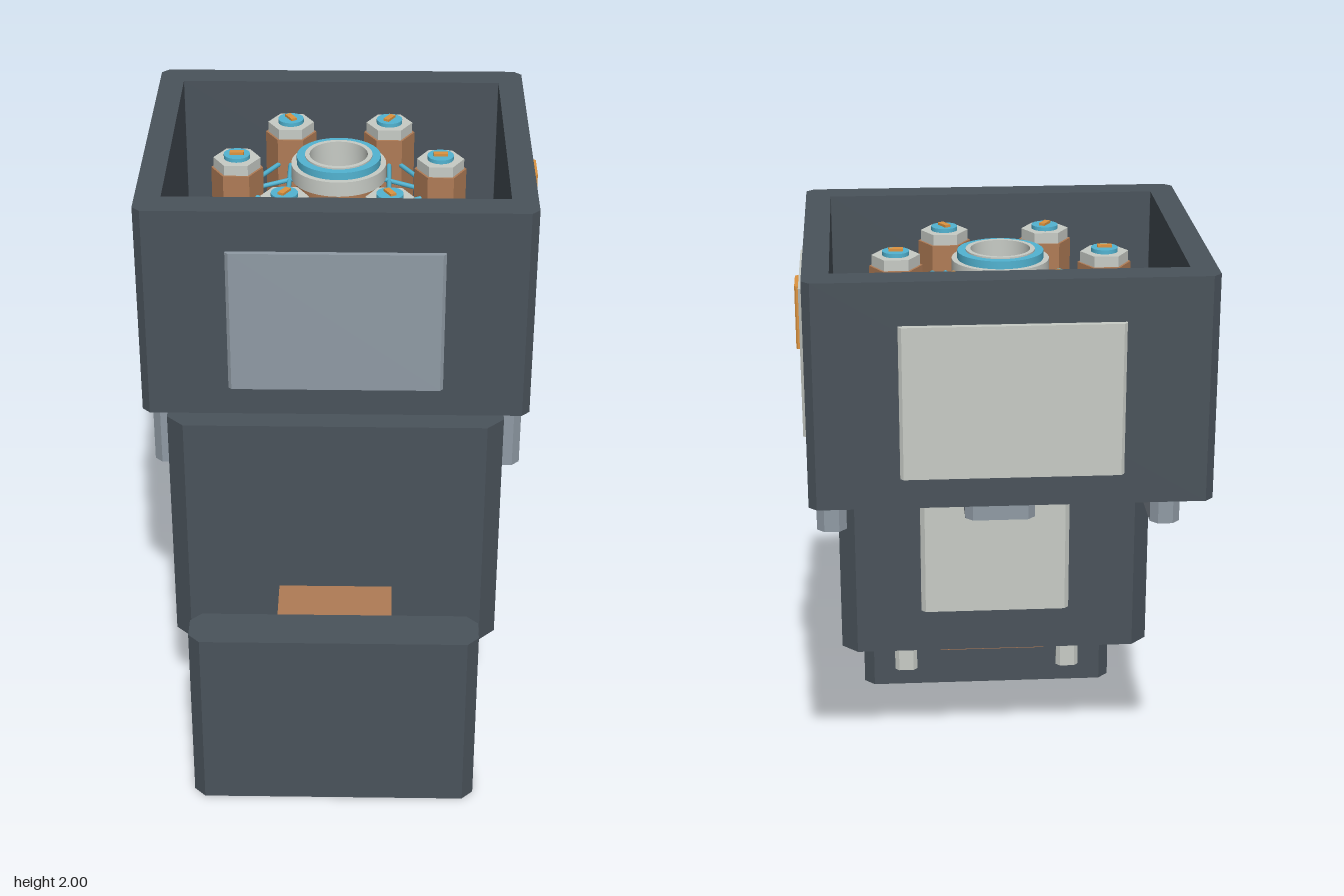
import * as THREE from 'three';
import { toCreasedNormals } from 'three/addons/utils/BufferGeometryUtils.js';

const mat = (color) => new THREE.MeshStandardMaterial({ color });
const DARK = mat(0x4a535b), BLACK = mat(0x343a40), STEEL = mat(0x909ba5), PALE = mat(0xc8ccc6);
const COPPER = mat(0xb07c56), ORANGE = mat(0xdd9440), BLUE = mat(0x52b4d2);

const CZ = -0.175; // z of the housing axis

function add(parent, name, geometry, material, x = 0, y = 0, z = 0) {
  const mesh = new THREE.Mesh(geometry, material);
  mesh.name = name;
  mesh.position.set(x, y, z);
  parent.add(mesh);
  return mesh;
}

// Rectangle in plan with its four corners cut off by c
function plan(x0, x1, z0, z1, c) {
  const s = new THREE.Shape();
  // shape y is -z, so that the extrusion can be turned upright
  s.moveTo(x0 + c, -z1);
  s.lineTo(x1 - c, -z1);
  s.lineTo(x1, -z1 + c);
  s.lineTo(x1, -z0 - c);
  s.lineTo(x1 - c, -z0);
  s.lineTo(x0 + c, -z0);
  s.lineTo(x0, -z0 - c);
  s.lineTo(x0, -z1 + c);
  s.closePath();
  return s;
}

// Upright block with chamfered vertical edges
function block(parent, name, material, [x0, x1], [y0, y1], [z0, z1], c, hole) {
  const shape = plan(x0, x1, z0, z1, c);
  if (hole) shape.holes.push(hole);
  const g = new THREE.ExtrudeGeometry(shape, { depth: y1 - y0, bevelEnabled: false });
  g.rotateX(-Math.PI / 2);
  return add(parent, name, g, material, 0, y0, 0);
}

// Cylinder from y0 to y1 on the given axis
function column(parent, name, material, r, y0, y1, sides = 40, x = 0, z = 0) {
  const g = new THREE.CylinderGeometry(r, r, y1 - y0, sides);
  if (sides === 6) g.rotateY(Math.PI / 6);
  return add(parent, name, sides === 6 ? toCreasedNormals(g, 0.5) : g, material, x, (y0 + y1) / 2, z);
}

// Hollow ring with a square section
function ring(parent, name, material, rIn, rOut, y0, y1) {
  const profile = [[rOut, y0], [rOut, y1], [rIn, y1], [rIn, y0], [rOut, y0]].map(([r, y]) => new THREE.Vector2(r, y));
  return add(parent, name, toCreasedNormals(new THREE.LatheGeometry(profile, 40), 0.6), material);
}

export function createModel() {
  const model = new THREE.Group();
  model.name = 'model';

  // Open housing with a panel on each side
  const housing = new THREE.Group();
  housing.name = 'housing';
  model.add(housing);
  block(housing, 'housingWalls', DARK, [-0.62, 0.62], [1.285, 2], [-0.73, 0.378], 0.025,
    plan(-0.538, 0.538, -0.63, 0.277, 0.001));
  block(housing, 'frontPanel', STEEL, [-0.34, 0.34], [1.385, 1.865], [0.37, 0.395], 0.01);
  block(housing, 'backPanel', PALE, [-0.34, 0.34], [1.385, 1.865], [-0.75, -0.72], 0.01);
  for (const s of [-1, 1]) {
    const span = (a, b) => (s > 0 ? [a, b] : [-b, -a]);
    const side = s > 0 ? 'left' : 'right';
    block(housing, side + 'Panel', PALE, span(0.61, 0.638), [1.4, 1.885], [-0.405, 0.05], 0.01);
    block(housing, side + 'Marker', ORANGE, span(0.63, 0.652), [1.66, 1.865], [-0.305, -0.182], 0.005);
    block(housing, side + 'Hanger', STEEL, span(0.512, 0.612), [0.96, 1.287], [-0.142, 0.165], 0.025);
  }
  block(housing, 'centreHanger', STEEL, [-0.12, 0.115], [1.0, 1.292], [-0.17, 0.13], 0.025);

  // Rotor inside the housing
  const rotor = new THREE.Group();
  rotor.name = 'rotor';
  rotor.position.z = CZ;
  model.add(rotor);
  column(rotor, 'basePlate', DARK, 0.42, 1.29, 1.35, 56);
  column(rotor, 'lowerBearing', BLACK, 0.09, 1.268, 1.295);
  column(rotor, 'lowerCap', BLACK, 0.062, 1.25, 1.27);

  // Central hub
  ring(rotor, 'hubSleeve', COPPER, 0.1, 0.138, 1.35, 1.87);
  ring(rotor, 'hubCollar', PALE, 0.1, 0.155, 1.86, 1.91);
  ring(rotor, 'hubBlueRing', BLUE, 0.105, 0.137, 1.905, 1.935);
  ring(rotor, 'hubInnerRing', PALE, 0.095, 0.11, 1.85, 1.94);
  ring(rotor, 'hubSeal', BLACK, 0.068, 0.1, 1.35, 1.78);
  column(rotor, 'hubCore', STEEL, 0.07, 1.35, 1.75);

  // Six posts around the hub
  const R = 0.332, posts = [];
  for (let i = 0; i < 6; i++) {
    const a = (i * Math.PI) / 3;
    const x = R * Math.cos(a), z = -R * Math.sin(a);
    posts.push(new THREE.Vector3(x, 1.8, z));
    column(rotor, 'post', COPPER, 0.085, 1.35, 1.89, 6, x, z);
    column(rotor, 'postNut', PALE, 0.077, 1.885, 1.925, 6, x, z);
    column(rotor, 'postCap', BLUE, 0.043, 1.92, 1.938, 28, x, z);
    const slot = add(rotor, 'postSlot', new THREE.BoxGeometry(0.046, 0.012, 0.02), ORANGE, x, 1.94, z);
    slot.rotation.y = a;
    const spoke = add(rotor, 'spoke', new THREE.BoxGeometry(0.2, 0.06, 0.058), STEEL, x * 0.63, 1.42, z * 0.63);
    spoke.rotation.y = a;
  }

  // Wires to the next post and to the one after it
  for (const step of [1, 2]) {
    for (let i = 0; i < 6; i++) {
      const line = new THREE.LineCurve3(posts[i], posts[(i + step) % 6]);
      add(rotor, 'wire', new THREE.TubeGeometry(line, 1, 0.008, 8), BLUE);
    }
  }

  // Middle slab
  const middle = new THREE.Group();
  middle.name = 'middleSlab';
  model.add(middle);
  block(middle, 'middleBody', DARK, [-0.548, 0.543], [0.38, 1.232], [0.118, 0.37], 0.055);
  block(middle, 'middleBackPanel', PALE, [-0.26, 0.26], [0.55, 1.15], [0.075, 0.125], 0.015);
  block(middle, 'bottomRail', STEEL, [-0.37, 0.37], [0.31, 0.385], [0.272, 0.33], 0.015);

  // Lower slab and its connector
  const lower = new THREE.Group();
  lower.name = 'lowerSlab';
  model.add(lower);
  block(lower, 'connector', COPPER, [-0.19, 0.187], [0.297, 0.6], [0.28, 0.61], 0.002);
  block(lower, 'lowerBody', DARK, [-0.47, 0.467], [0, 0.65], [0.598, 0.75], 0.037);
  for (const x of [-0.308, 0.308]) {
    block(lower, 'backStrip', PALE, [x - 0.042, x + 0.042], [0.07, 0.36], [0.572, 0.605], 0.015);
  }
  return model;
}
